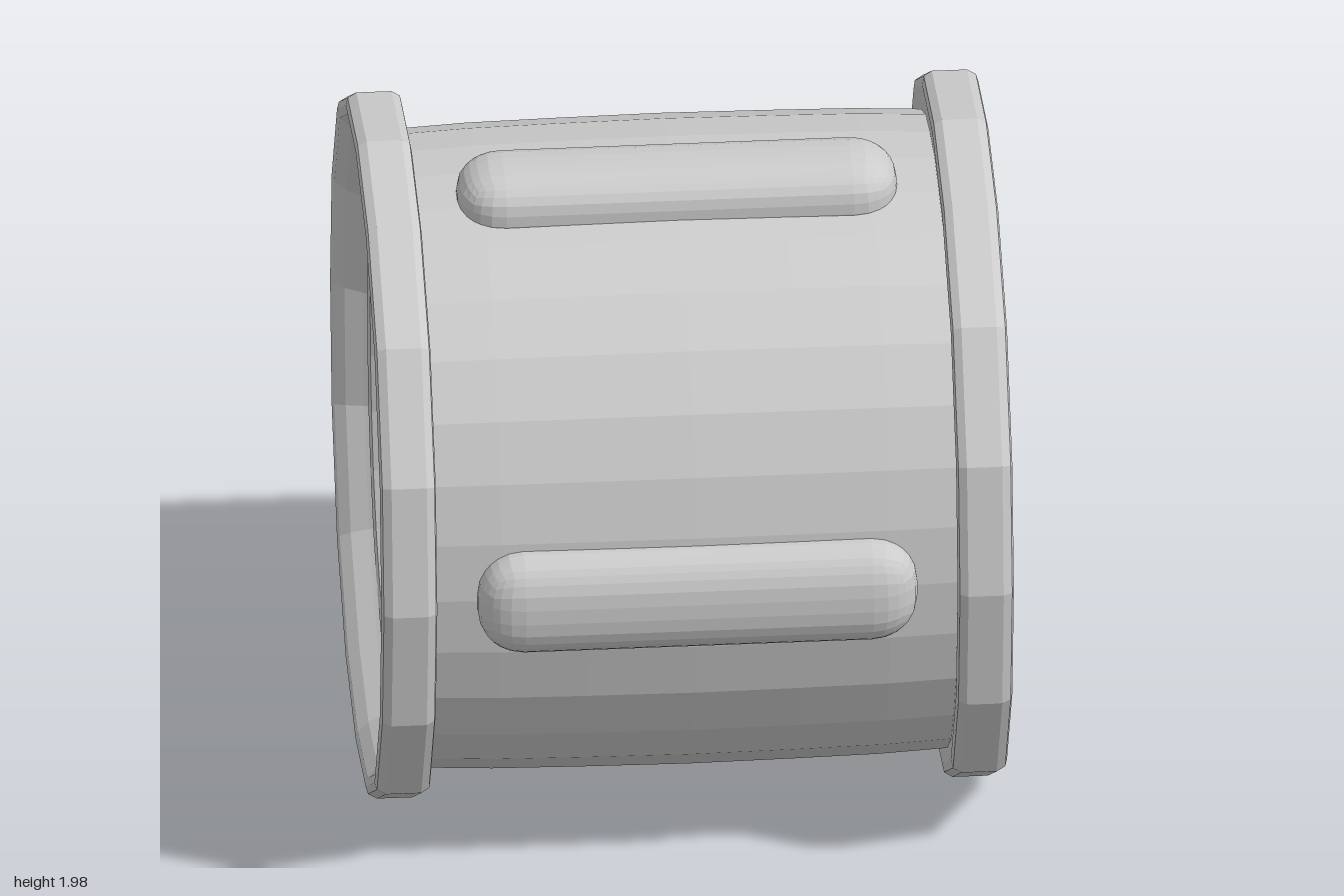
import * as THREE from 'three';
import { RoundedBoxGeometry } from 'three/addons/geometries/RoundedBoxGeometry.js';

const material = new THREE.MeshStandardMaterial({ color: 0xcccccc, flatShading: true });

// Revolves [radius, x] pairs around the x axis, swelling the circle a little on its diagonals
function turned(name, profile, sides, y, z) {
  const geometry = new THREE.LatheGeometry(profile.map(([r, x]) => new THREE.Vector2(r, x)), sides);
  geometry.rotateZ(-Math.PI / 2);
  const p = geometry.attributes.position;
  for (let i = 0; i < p.count; i++) {
    const swell = 1 + 0.034 * Math.sin(2 * Math.atan2(p.getY(i), p.getZ(i))) ** 2;
    p.setXYZ(i, p.getX(i), p.getY(i) * swell, p.getZ(i) * swell);
  }
  geometry.computeVertexNormals();
  const mesh = new THREE.Mesh(geometry, material);
  mesh.name = name;
  mesh.position.set(0, y, z);
  return mesh;
}

export function createModel() {
  const group = new THREE.Group();
  group.name = 'barrelDrum';

  // Slightly bulging body with a rounded lip and a dished head at each end
  const half = [
    [0.893, 0.3], [0.889, 0.55], [0.88, 0.74], [0.868, 0.785], [0.85, 0.8],
    [0.833, 0.793], [0.82, 0.77], [0.802, 0.742], [0.77, 0.725], [0.7, 0.717], [0, 0.712],
  ];
  const mirrored = half.map(([r, x]) => [r, -x]).reverse();
  group.add(turned('body', [...mirrored, [0.896, 0], ...half], 32, 0.985, 0.005));

  // Sixteen-sided end rims, bevelled toward the head
  const rimProfile = [
    [0.85, 0.745], [0.95, 0.737], [0.975, 0.742], [0.989, 0.765], [0.989, 0.865],
    [0.975, 0.89], [0.955, 0.896], [0.93, 0.89], [0.9, 0.86], [0.87, 0.81], [0.85, 0.78], [0.85, 0.745],
  ];
  for (const [name, turn] of [['leftRim', 0], ['rightRim', Math.PI]]) {
    const rim = turned(name, rimProfile, 16, 0.99, -0.01);
    rim.rotation.y = turn;
    group.add(rim);
  }

  // Rounded ribs: outward direction as angle from front toward top, then y and z of the crest
  const ribs = [
    ['frontRib', 0, 0.985, 1.0],
    ['topRib', 90, 1.97, 0.12],
    ['backRib', 180, 0.965, -0.96],
    ['bottomRib', 270, 0.04, 0.12],
  ];
  const depth = 0.22;
  const ribGeometry = new RoundedBoxGeometry(1.245, 0.305, 0.305, 3, 0.13);
  ribGeometry.scale(1, 1, depth / 0.305);
  for (const [name, degrees, y, z] of ribs) {
    const a = THREE.MathUtils.degToRad(degrees);
    const rib = new THREE.Mesh(ribGeometry, material);
    rib.name = name;
    rib.rotation.x = -a;
    rib.position.set(0.003, y - Math.sin(a) * depth / 2, z - Math.cos(a) * depth / 2);
    group.add(rib);
  }

  return group;
}
